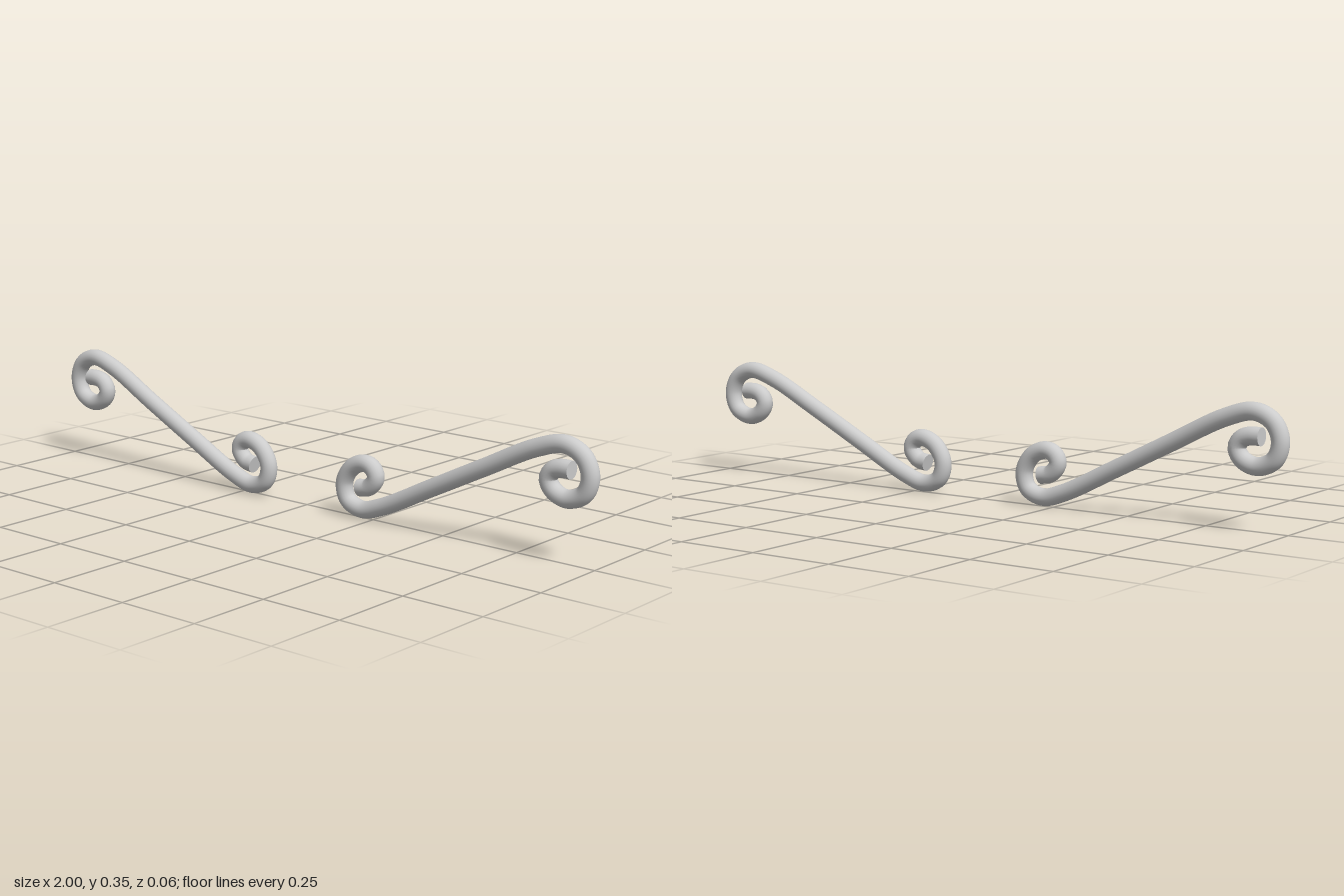
import * as THREE from 'three';

const RADIUS = 0.0255;

// Centreline of one scroll: lower curl, straight bar, upper curl
const PATH = [
  [0.203, 0.089, 0.005], [0.238, 0.096, 0.005], [0.263, 0.128, 0.005], [0.251, 0.154, 0.005],
  [0.222, 0.164, 0.005], [0.176, 0.145, 0.005], [0.147, 0.096, 0.005], [0.160, 0.047, 0.005],
  [0.212, 0.026, 0.005], [0.285, 0.046, 0.005], [0.46, 0.132, 0.005], [0.64, 0.222, 0.004],
  [0.805, 0.303, -0.001], [0.895, 0.326, -0.003], [0.952, 0.301, -0.004], [0.974, 0.25, -0.005],
  [0.957, 0.2, -0.005], [0.905, 0.178, -0.004], [0.859, 0.195, -0.004], [0.843, 0.225, -0.003],
  [0.858, 0.25, -0.003], [0.885, 0.259, -0.003], [0.917, 0.259, -0.003],
];

function createScroll(side, material) {
  const scroll = new THREE.Group();
  scroll.name = side > 0 ? 'leftScroll' : 'rightScroll';
  const curve = new THREE.CatmullRomCurve3(
    PATH.map(([x, y, z]) => new THREE.Vector3(side * x, y, z)));

  const rod = new THREE.Mesh(new THREE.TubeGeometry(curve, 160, RADIUS, 20), material);
  rod.name = 'scrollRod';
  scroll.add(rod);

  // Flat discs close both ends of the rod
  for (const t of [0, 1]) {
    const cap = new THREE.Mesh(new THREE.CircleGeometry(RADIUS, 20), material);
    cap.name = t ? 'upperEndCap' : 'lowerEndCap';
    const outward = curve.getTangentAt(t).multiplyScalar(t ? 1 : -1);
    cap.quaternion.setFromUnitVectors(new THREE.Vector3(0, 0, 1), outward);
    cap.position.copy(curve.getPointAt(t));
    scroll.add(cap);
  }
  return scroll;
}

export function createModel() {
  const model = new THREE.Group();
  model.name = 'scrollPair';
  const material = new THREE.MeshStandardMaterial({ color: 0xcccccc });
  for (const side of [1, -1]) model.add(createScroll(side, material));
  return model;
}
